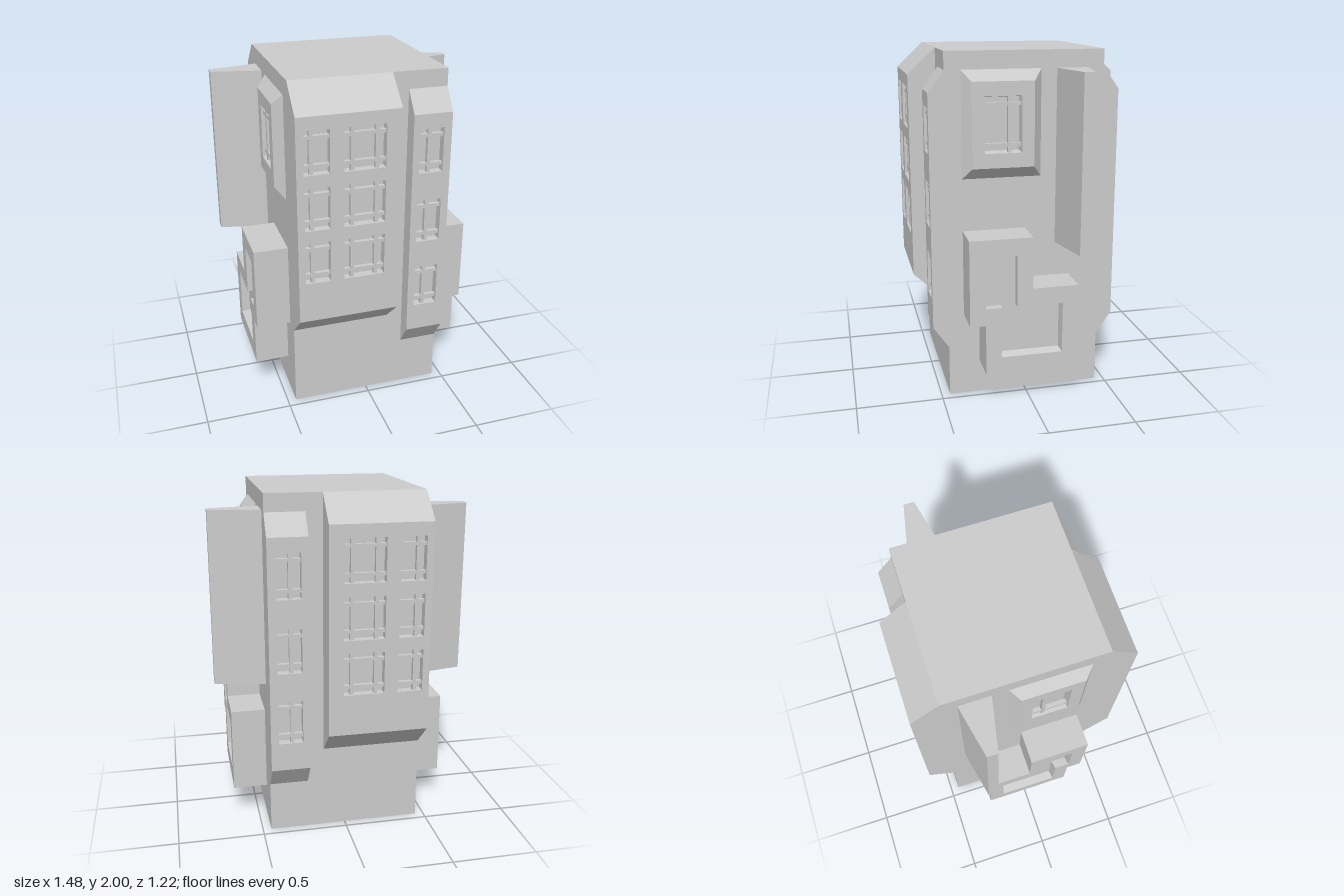
import * as THREE from 'three';
import { mergeGeometries } from 'three/addons/utils/BufferGeometryUtils.js';

const HALF = 0.45;      // half width of the tower core
const RECESS = 0.05;    // depth of windows and panels
const BAR = 0.021;      // width of window bars

const material = new THREE.MeshStandardMaterial({ color: 0xcccccc, flatShading: true });

// Counter-clockwise rectangle loop
const rect = (x0, y0, x1, y1) => [[x0, y0], [x1, y0], [x1, y1], [x0, y1]];

// Band of quads between two matching loops at two depths
function band(a, za, b, zb) {
  const p = [];
  a.forEach((_, i) => {
    const j = (i + 1) % a.length;
    const A = [...a[i], za], B = [...a[j], za], C = [...b[j], zb], D = [...b[i], zb];
    p.push(...A, ...B, ...C, ...A, ...C, ...D);
  });
  const g = new THREE.BufferGeometry();
  g.setAttribute('position', new THREE.Float32BufferAttribute(p, 3));
  g.computeVertexNormals();
  return g;
}

// Flat face bounded by a loop, with optional hole loops
function face(loop, z, holes = []) {
  const toVectors = l => l.map(([x, y]) => new THREE.Vector2(x, y));
  const shape = new THREE.Shape(toVectors(loop));
  shape.holes = holes.map(h => new THREE.Path(toVectors(h).reverse()));
  const g = new THREE.ShapeGeometry(shape).toNonIndexed().translate(0, 0, z);
  g.deleteAttribute('uv');
  return g;
}

// Projecting block from a base loop to a front loop, with recesses sunk in its front
function block(name, { base, front, depth, recesses = [], windows = [] }, m) {
  const flip = l => (m > 0 ? l : l.map(([x, y]) => [-x, y]).reverse());
  const group = new THREE.Group();
  group.name = name;

  const sunk = recesses.concat(windows.map(w => {
    const t = w.taper || 0;
    return {
      outer: rect(w.x0, w.y0, w.x1, w.y1),
      inner: rect(w.x0 + t, w.y0 + t, w.x1 - t, w.y1 - t),
    };
  })).map(r => ({ outer: flip(r.outer), inner: flip(r.inner) }));

  const f = flip(front);
  const parts = [band(flip(base), 0, f, depth), face(f, depth, sunk.map(r => r.outer))];
  for (const { outer, inner } of sunk) {
    parts.push(band(outer, depth, inner, depth - RECESS), face(inner, depth - RECESS));
  }
  const body = new THREE.Mesh(mergeGeometries(parts), material);
  body.name = name + 'Body';
  group.add(body);

  // Window bars, set back a little from the front
  for (const w of windows) {
    const addBar = (width, height, x, y) => {
      const bar = new THREE.Mesh(new THREE.BoxGeometry(width, height, 0.025), material);
      bar.position.set(x * m, y, depth - 0.025);
      bar.name = 'windowBar';
      group.add(bar);
    };
    for (const x of w.uprights) addBar(BAR, w.y1 - w.y0, x, (w.y0 + w.y1) / 2);
    for (const y of [w.y0 + 0.045, w.y1 - 0.043]) addBar(w.x1 - w.x0, BAR * 0.9, (w.x0 + w.x1) / 2, y);
  }
  return group;
}

const column = (x0, x1, uprights, rows, height) =>
  rows.map(y0 => ({ x0, x1, y0, y1: y0 + height, uprights }));

// Parts on the front and back
const wideBay = {
  base: rect(-0.45, 0.5, 0.13, 2), front: rect(-0.45, 0.65, 0.13, 1.85), depth: 0.16,
  windows: [
    ...column(-0.41, -0.267, [-0.367], [1.53, 1.21, 0.89], 0.245),
    ...column(-0.188, 0.045, [-0.14, -0.002], [1.53, 1.21, 0.89], 0.245),
  ],
};
const narrowBay = {
  base: rect(0.225, 0.3, 0.45, 1.9), front: rect(0.225, 0.43, 0.45, 1.78), depth: 0.09,
  windows: column(0.265, 0.405, [0.325], [1.44, 1.017, 0.595], 0.257),
};

// Parts on the two sides (first coordinate runs towards the back)
const sideWindow = {
  base: rect(-0.36, 1.3, 0.09, 1.9), front: rect(-0.31, 1.365, 0.04, 1.84), depth: 0.055,
  windows: [{ x0: -0.24, x1: -0.03, y0: 1.447, y1: 1.76, uprights: [-0.098], taper: 0.008 }],
};
const fin = {
  base: rect(0.18, 0.9, 0.36, 1.9), front: rect(0.24, 0.9, 0.3, 1.9), depth: 0.29,
};
const steppedOutline = [
  [-0.36, 0.5], [-0.27, 0.5], [-0.27, 0.2], [0.265, 0.2],
  [0.265, 0.7], [0, 0.7], [0, 1], [-0.36, 1],
];
const steppedBox = {
  base: steppedOutline, front: steppedOutline, depth: 0.2,
  recesses: [{
    outer: [[-0.27, 0.6], [-0.18, 0.6], [-0.18, 0.3], [0.175, 0.3],
      [0.175, 0.6], [-0.09, 0.6], [-0.09, 0.9], [-0.27, 0.9]],
    inner: [[-0.26, 0.6], [-0.17, 0.6], [-0.17, 0.315], [0.165, 0.315],
      [0.165, 0.6], [-0.09, 0.6], [-0.09, 0.885], [-0.26, 0.885]],
  }],
};

// One wall of the tower with its blocks, turned to its side
function wall(name, parts, angle, m) {
  const group = new THREE.Group();
  group.name = name;
  for (const [partName, spec] of Object.entries(parts)) group.add(block(partName, spec, m));
  group.children.forEach(c => { c.position.z = HALF; });
  group.rotation.y = angle;
  return group;
}

export function createModel() {
  const model = new THREE.Group();
  model.name = 'tower';

  const core = new THREE.Mesh(new THREE.BoxGeometry(2 * HALF, 2, 2 * HALF), material);
  core.position.y = 1;
  core.name = 'core';
  model.add(core);

  const bays = { wideBay, narrowBay };
  const sides = { sideWindow, fin, steppedBox };
  model.add(
    wall('frontWall', bays, 0, 1),
    wall('backWall', bays, Math.PI, -1),
    wall('leftWall', sides, Math.PI / 2, 1),
    wall('rightWall', sides, -Math.PI / 2, -1),
  );
  return model;
}
